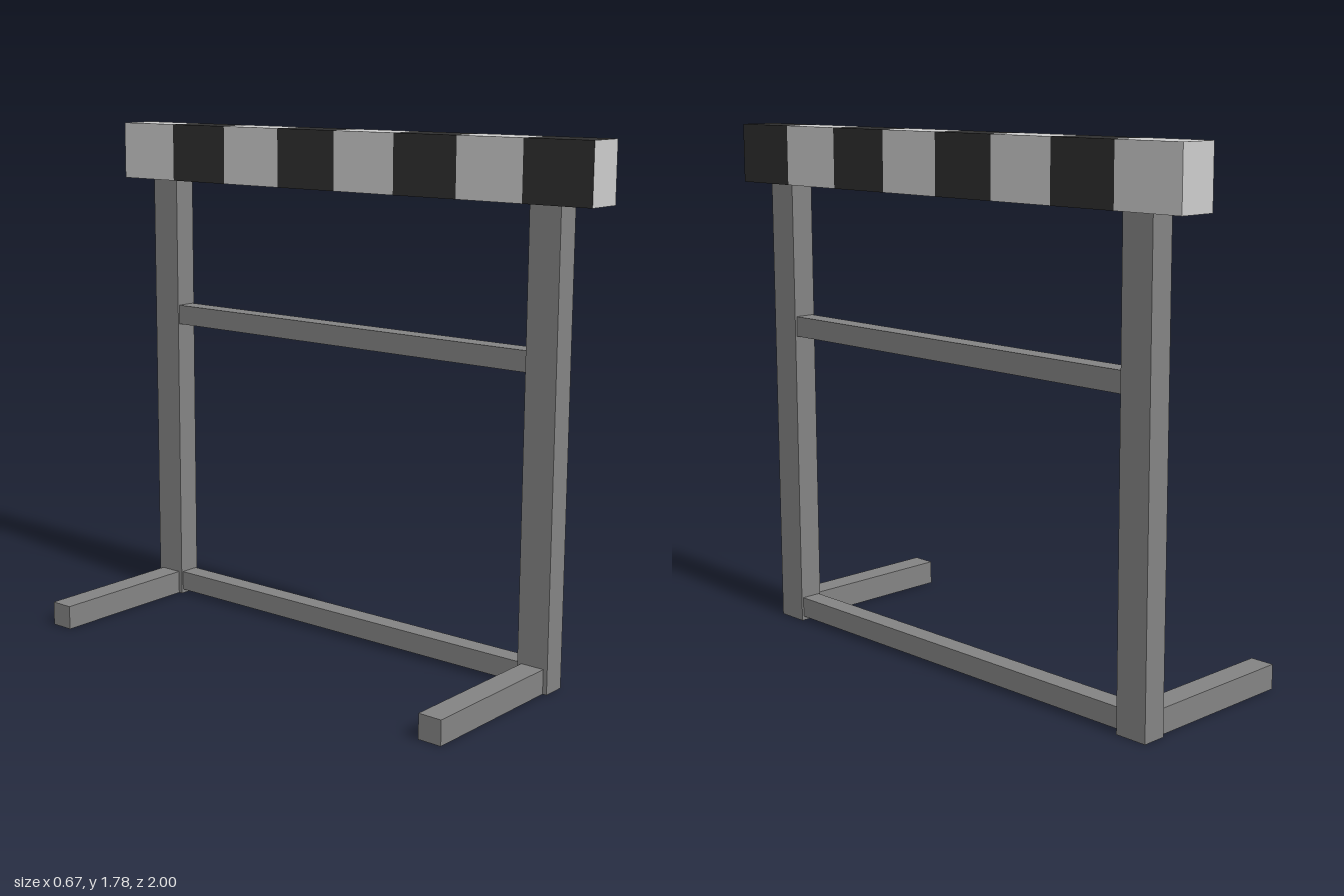
import * as THREE from 'three';

const paint = (color) => new THREE.MeshStandardMaterial({ color });

// Box given by its lower and upper limits on each axis
function addBox(parent, name, [x0, x1], [y0, y1], [z0, z1], material) {
  const mesh = new THREE.Mesh(new THREE.BoxGeometry(x1 - x0, y1 - y0, z1 - z0), material);
  mesh.position.set((x0 + x1) / 2, (y0 + y1) / 2, (z0 + z1) / 2);
  mesh.name = name;
  parent.add(mesh);
}

export function createModel() {
  const hurdle = new THREE.Group();
  hurdle.name = 'hurdle';
  const frame = paint(0x838383);
  const light = paint(0xcccccc);
  const dark = paint(0x2e2e2e);

  // Uprights and feet, mirrored across z
  for (const [side, s] of [['left', 1], ['right', -1]]) {
    const span = (a, b) => (s > 0 ? [a, b] : [-b, -a]);
    addBox(hurdle, side + 'Post', [0.226, 0.31], [0, 1.576], span(0.762, 0.876), frame);
    addBox(hurdle, side + 'Foot', [-0.335, 0.226], [0, 0.084], span(0.777, 0.861), frame);
  }

  // Cross rails between the posts
  addBox(hurdle, 'lowerRail', [0.233, 0.303], [0.015, 0.085], [-0.762, 0.762], frame);
  addBox(hurdle, 'upperRail', [0.233, 0.303], [1.044, 1.114], [-0.762, 0.762], frame);

  // Striped top bar; the dark last block has a light end face
  const bar = new THREE.Group();
  bar.name = 'topBar';
  hurdle.add(bar);
  for (let i = 0; i < 8; i++) {
    const z = -1 + i * 0.25;
    const material = i === 7 ? [dark, dark, dark, dark, light, dark] : i % 2 ? dark : light;
    addBox(bar, 'stripe' + (i + 1), [0.2, 0.335], [1.576, 1.778], [z, z + 0.25], material);
  }
  return hurdle;
}
